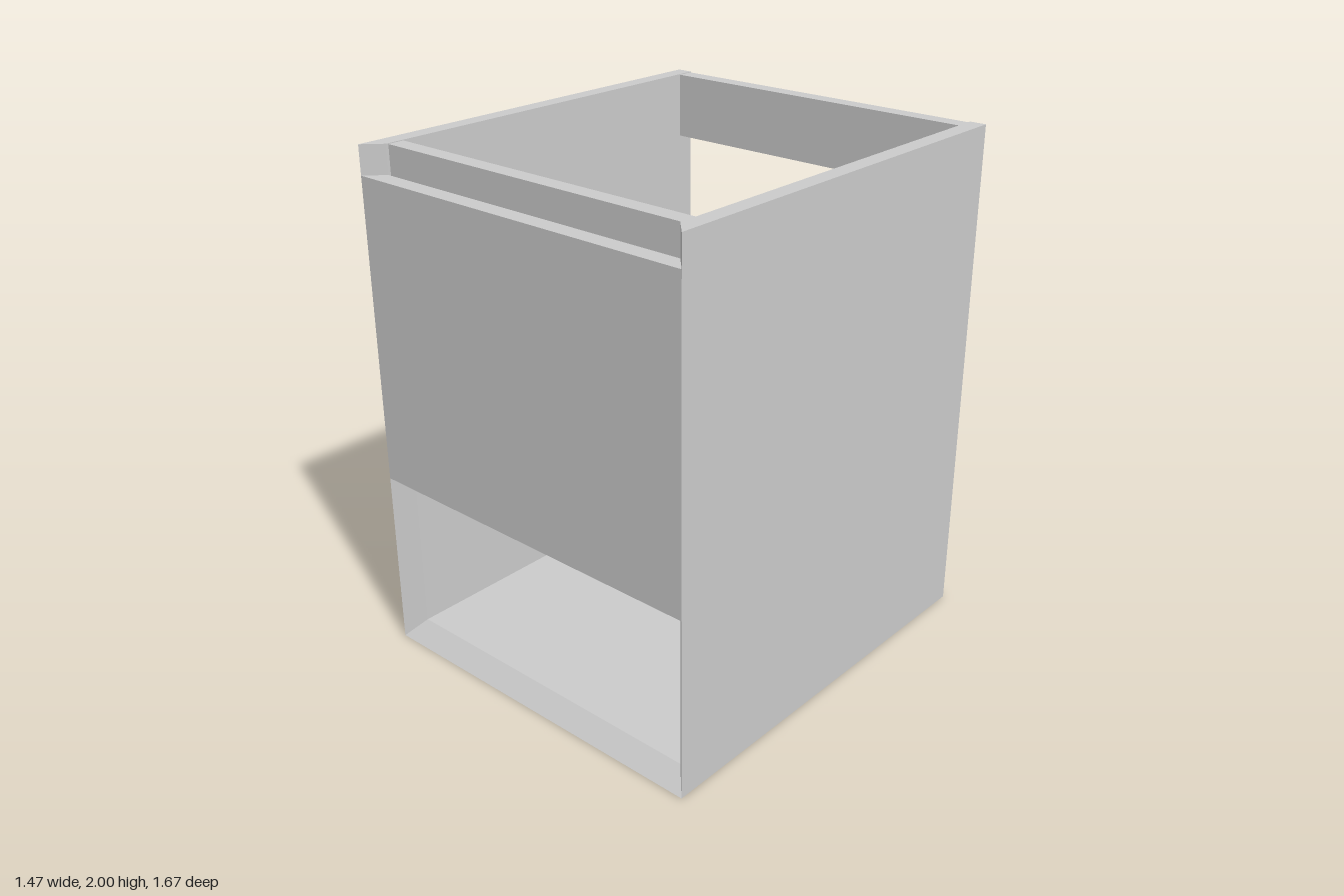
import * as THREE from 'three';

const W = 0.735, D = 0.833, H = 2;      // half width, half depth, height
const IX = 0.67, IZ = 0.765, IY = 0.07; // inner faces of the carcass boards

const material = new THREE.MeshStandardMaterial({ color: 0xcccccc });

// Box between two corners; an optional rule moves its vertices to cut mitres.
function board(name, min, max, mitre) {
  const size = max.map((v, i) => v - min[i]);
  const geometry = new THREE.BoxGeometry(...size);
  geometry.translate(...min.map((v, i) => v + size[i] / 2));
  if (mitre) {
    const pos = geometry.attributes.position;
    const p = new THREE.Vector3();
    for (let i = 0; i < pos.count; i++) {
      mitre(p.fromBufferAttribute(pos, i));
      pos.setXYZ(i, p.x, p.y, p.z);
    }
    geometry.computeVertexNormals();
  }
  const mesh = new THREE.Mesh(geometry, material);
  mesh.name = name;
  return mesh;
}

export function createModel() {
  const cabinet = new THREE.Group();
  cabinet.name = 'cabinet';

  // Side panels: inner face cut back at the front and bottom
  for (const [name, s] of [['leftSide', 1], ['rightSide', -1]]) {
    const x = [s * IX, s * W].sort((a, b) => a - b);
    cabinet.add(board(name, [x[0], 0, -D], [x[1], H, D], (p) => {
      if (Math.abs(p.x) > (IX + W) / 2) return;
      if (p.z > 0) p.z = IZ;
      if (p.y < 1) p.y = IY;
    }));
  }

  // Bottom: top face cut back at the front and both ends
  cabinet.add(board('bottom', [-W, 0, -D], [W, IY, D], (p) => {
    if (p.y < IY / 2) return;
    p.x = Math.sign(p.x) * IX;
    if (p.z > 0) p.z = IZ;
  }));

  // Back panel and rails, set in slightly from the rear edges
  const backBoards = [['lowerBackPanel', IY, 0.665], ['middleBackRail', 0.84, 1.1], ['topBackRail', 1.74, 1.997]];
  for (const [name, y0, y1] of backBoards) {
    cabinet.add(board(name, [-IX, y0, -0.83], [IX, y1, -IZ]));
  }

  // Front rail behind the drawer front
  cabinet.add(board('topFrontRail', [-IX, 1.74, 0.69], [IX, 1.997, 0.755]));

  // Drawer front, mitred at both ends to meet the sides
  cabinet.add(board('drawerFront', [-W, 0.71, IZ], [W, 1.89, D], (p) => {
    if (p.z < (IZ + D) / 2) p.x = Math.sign(p.x) * IX;
  }));

  // Drawer base, narrower and shorter than the interior
  cabinet.add(board('drawerBase', [-0.62, 0.77, -0.49], [0.62, 0.838, IZ]));

  return cabinet;
}
